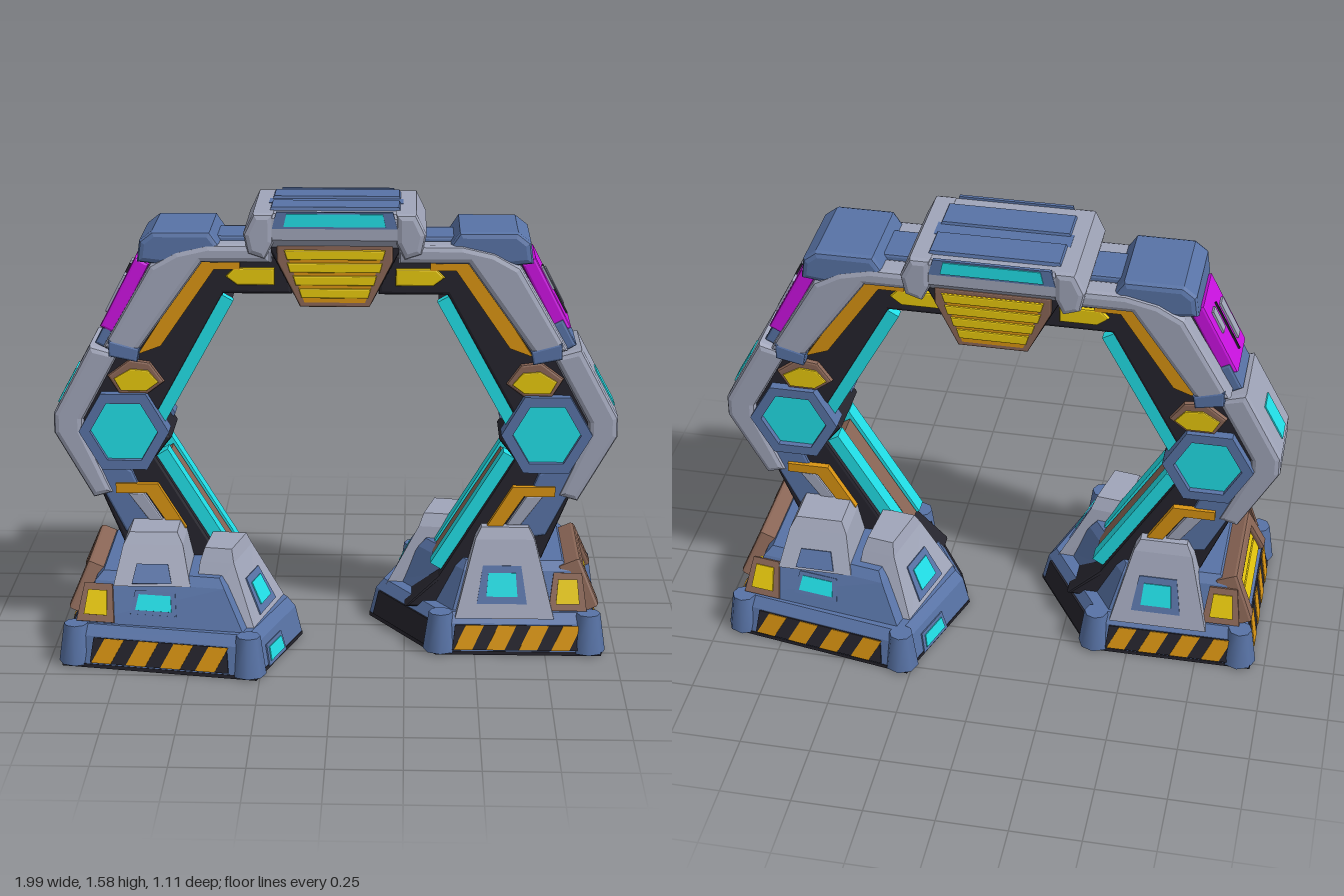
import * as THREE from 'three';

const paint = (name, color) => {
  const m = new THREE.MeshStandardMaterial({ color });
  m.name = name;
  return m;
};

export function createModel() {
  const blue = paint('steel blue', 0x5873a6), grey = paint('pale grey', 0xa0a5b9), dark = paint('charcoal', 0x25242d);
  const cyan = paint('cyan glow', 0x22e2ea), yellow = paint('yellow', 0xf0d00e), orange = paint('orange', 0xd99412);
  const magenta = paint('magenta', 0xcc12e2), brown = paint('brown', 0x8a6656);

  const add = (parent, name, mat, geo) => {
    const mesh = new THREE.Mesh(geo, mat);
    mesh.name = name;
    parent.add(mesh);
    return mesh;
  };

  // Outline in x,y extruded from z0 to z1, with optional bevel
  const slab = (parent, name, mat, pts, z0, z1, b = 0) => {
    const shape = new THREE.Shape(pts.map(p => new THREE.Vector2(...p)));
    const geo = new THREE.ExtrudeGeometry(shape, {
      depth: z1 - z0 - 2 * b, bevelEnabled: b > 0, bevelSize: b, bevelThickness: b, bevelOffset: -b, bevelSegments: 2,
    });
    return add(parent, name, mat, geo.translate(0, 0, z0 + b));
  };

  // The same slab on the front and back of an arm
  const pair = (parent, name, mat, pts, z0, z1, b) => {
    slab(parent, name, mat, pts, z0, z1, b);
    slab(parent, name, mat, pts, -z1, -z0, b);
  };

  // Band of thickness t on the right-hand side of a line in x,y
  const strip = (parent, name, mat, [x1, y1], [x2, y2], t, z0, z1, b) => {
    const l = Math.hypot(x2 - x1, y2 - y1), nx = (y2 - y1) / l * t, ny = -(x2 - x1) / l * t;
    return slab(parent, name, mat, [[x1, y1], [x1 + nx, y1 + ny], [x2 + nx, y2 + ny], [x2, y2]], z0, z1, b);
  };

  // Faceted solid through stacked x,z rings; rings run front-left, front-right, back-right, back-left
  const solid = (parent, name, mat, rings) => {
    const pos = [], P = rings.map(([y, poly]) => poly.map(([x, z]) => [x, y, z])), n = P[0].length;
    const tri = (...v) => v.forEach(p => pos.push(...p));
    for (let r = 0; r + 1 < P.length; r++)
      for (let i = 0; i < n; i++) {
        const j = (i + 1) % n;
        tri(P[r][i], P[r][j], P[r + 1][j]);
        tri(P[r][i], P[r + 1][j], P[r + 1][i]);
      }
    const top = P[P.length - 1];
    for (let i = 1; i + 1 < n; i++) {
      tri(top[0], top[i], top[i + 1]);
      tri(P[0][0], P[0][i + 1], P[0][i]);
    }
    const geo = new THREE.BufferGeometry();
    geo.setAttribute('position', new THREE.Float32BufferAttribute(pos, 3));
    geo.computeVertexNormals();
    add(parent, name, mat, geo);
    // Returns a function giving a group that lies on side i: local x along it, z outward
    return i => {
      const [a, b, c, d] = [P[0][i], P[0][(i + 1) % n], P[1][(i + 1) % n], P[1][i]].map(p => new THREE.Vector3(...p));
      const x = b.clone().sub(a).normalize(), up = c.clone().add(d).sub(a).sub(b);
      const z = x.clone().cross(up).normalize(), y = z.clone().cross(x);
      const g = new THREE.Group();
      g.name = name + 'Face';
      g.quaternion.setFromRotationMatrix(new THREE.Matrix4().makeBasis(x, y, z));
      g.position.copy(a).add(b).add(c).add(d).multiplyScalar(0.25);
      parent.add(g);
      return g;
    };
  };

  const inset = (poly, s) => {
    const cx = poly.reduce((t, p) => t + p[0], 0) / poly.length, cz = poly.reduce((t, p) => t + p[1], 0) / poly.length;
    return poly.map(([x, z]) => [cx + (x - cx) * s, cz + (z - cz) * s]);
  };
  const rect = (x0, x1, z0, z1) => [[x0, z1], [x1, z1], [x1, z0], [x0, z0]];
  // Trapezium outline: half widths at bottom and top, half height, centre
  const trap = (w, wt, h, dx = 0, dy = 0) => [[dx - w, dy - h], [dx + w, dy - h], [dx + wt, dy + h], [dx - wt, dy + h]];

  const hazard = (face, n, w) => {
    slab(face, 'hazardPanel', dark, trap(w, w * 0.96, 0.045), 0, 0.006);
    const step = 2 * w / n;
    for (let i = 0; i < n; i++) {
      const x = -w + step * i + 0.006;
      slab(face, 'hazardStripe', orange,
        [[x, -0.044], [x + step * 0.56, -0.044], [x + step * 0.92, 0.044], [x + step * 0.36, 0.044]], 0.004, 0.009);
    }
  };
  const windowOn = (face, w, h, dx = 0, dy = 0, border = 0.014) => {
    slab(face, 'windowFrame', blue, trap(w + border * 1.3, w + border * 0.5, h + border, dx, dy), 0, 0.005);
    slab(face, 'windowPane', cyan, trap(w, w * 0.88, h, dx, dy), 0.003, 0.009);
  };
  const cornerLamp = (face, dx) => {
    slab(face, 'cornerLampMount', brown, trap(0.068, 0.05, 0.068, dx), 0, 0.012);
    slab(face, 'cornerLamp', yellow, trap(0.042, 0.034, 0.044, dx), 0.01, 0.018);
  };

  const buildFoot = side => {
    const foot = new THREE.Group();
    foot.name = 'foot';
    side.add(foot);
    // Five-sided plinth with hazard panels
    const plan = [[0.36, 0.28], [0.95, 0.28], [0.95, -0.42], [0.26, -0.54], [0.12, -0.1]];
    solid(foot, 'sole', dark, [[0, plan], [0.014, plan]]);
    const base = solid(foot, 'plinth', blue, [[0.014, inset(plan, 0.995)], [0.11, inset(plan, 0.94)], [0.145, inset(plan, 0.87)]]);
    hazard(base(0), 4, 0.23);
    hazard(base(1), 4, 0.25);
    hazard(base(2), 4, 0.25);
    windowOn(base(3), 0.065, 0.024, -0.03, -0.018);
    slab(base(4), 'innerPanel', dark, trap(0.19, 0.18, 0.046), 0, 0.008);
    for (const [x, z] of inset(plan, 0.89).slice(0, 4))
      add(foot, 'cornerPost', blue, new THREE.CylinderGeometry(0.042, 0.062, 0.14, 8).translate(x, 0.078, z));

    // Upper tier
    const low = [[0.42, 0.22], [0.9, 0.22], [0.9, -0.37], [0.31, -0.46], [0.22, -0.1]];
    const high = [[0.46, 0.17], [0.84, 0.17], [0.84, -0.31], [0.38, -0.39], [0.3, -0.08]];
    const tier = solid(foot, 'tier', blue, [[0.14, low], [0.28, high], [0.31, inset(high, 0.9)]]);
    windowOn(tier(2), 0.065, 0.028, -0.02, 0.01);
    cornerLamp(tier(0), 0.175);
    cornerLamp(tier(2), -0.225);

    // Outer vent in a heavy frame
    const vent = tier(1);
    vent.position.z += 0.035;
    slab(vent, 'ventBack', orange, trap(0.21, 0.18, 0.07), 0, 0.014);
    for (const y of [-0.035, 0.025])
      slab(vent, 'ventBar', yellow, trap(0.19, 0.18, 0.027, 0, y), 0.01, 0.03, 0.006);
    slab(vent, 'ventFrame', brown,
      [[-0.245, -0.07], [-0.19, -0.07], [-0.16, 0.055], [0.16, 0.055], [0.19, -0.07], [0.245, -0.07], [0.2, 0.105], [-0.2, 0.105]], -0.04, 0.05, 0.012);
    slab(vent, 'sideLamp', yellow, trap(0.03, 0.022, 0.045, 0.272), 0, 0.009);

    // Armour fenders
    const front = rect(0.5, 0.71, 0, 0.18), back = rect(0.53, 0.74, -0.3, -0.08);
    const diagonal = [[0.3, -0.1], [0.45, -0.08], [0.47, -0.3], [0.35, -0.32]];
    const f = solid(foot, 'frontFender', grey, [[0.13, rect(0.43, 0.78, 0, 0.26)], [0.4, front], [0.44, inset(front, 0.8)]]);
    windowOn(f(0), 0.055, 0.042, -0.01, -0.02, 0.026);
    const k = solid(foot, 'backFender', grey, [[0.28, rect(0.5, 0.77, -0.37, -0.05)], [0.41, back], [0.45, inset(back, 0.8)]]);
    slab(k(2), 'fenderInset', blue, trap(0.07, 0.055, 0.035, 0, -0.03), 0, 0.008);
    const d = solid(foot, 'innerFender', grey,
      [[0.13, [[0.18, -0.07], [0.45, -0.05], [0.5, -0.4], [0.27, -0.42]]], [0.35, diagonal], [0.395, inset(diagonal, 0.8)]]);
    windowOn(d(3), 0.055, 0.042, 0, -0.02, 0.026);
  };

  const buildArm = side => {
    const arm = new THREE.Group();
    arm.name = 'arm';
    side.add(arm);
    slab(arm, 'armCore', dark, [[0.25, 0.12], [0.66, 0.12], [0.8, 0.46], [0.93, 0.78], [0.62, 1.42], [0.15, 1.42], [0.15, 1.275],
      [0.39, 1.275], [0.635, 0.83], [0.58, 0.75], [0.635, 0.68], [0.37, 0.24]], -0.125, 0.125, 0.012);
    // Light strips and ribs along the inner edge
    for (const s of [-1, 1]) {
      strip(arm, 'upperLight', cyan, [0.64, 0.83], [0.395, 1.27], -0.045, s * 0.1 - 0.018, s * 0.1 + 0.018);
      strip(arm, 'lowerLight', cyan, [0.38, 0.26], [0.635, 0.68], -0.045, s * 0.08 - 0.03, s * 0.08 + 0.03);
    }
    strip(arm, 'upperRib', dark, [0.64, 0.83], [0.395, 1.27], -0.04, -0.083, 0.083);
    strip(arm, 'lowerRib', brown, [0.38, 0.27], [0.62, 0.66], -0.035, -0.04, 0.04);

    // Outer armour and elbow light
    slab(arm, 'elbowArmour', grey, [[0.86, 0.53], [0.995, 0.77], [0.995, 0.84], [0.86, 1.09], [0.76, 1.06], [0.89, 0.82], [0.89, 0.78], [0.79, 0.55]], -0.15, 0.145, 0.02);
    strip(arm, 'elbowLight', cyan, [0.986, 0.857], [0.918, 0.982], 0.005, -0.053, 0.037);
    strip(arm, 'collar', blue, [0.8, 1.07], [0.75, 1.165], 0.05, -0.12, 0.105, 0.01);
    strip(arm, 'shoulderPanel', magenta, [0.775, 1.13], [0.645, 1.38], 0.055, -0.128, 0.1, 0.01);
    strip(arm, 'panelGroove', dark, [0.811, 1.18], [0.72, 1.355], 0.007, -0.016, -0.01);
    strip(arm, 'panelInlay', grey, [0.8, 1.2], [0.733, 1.33], 0.008, -0.092, -0.045);
    strip(arm, 'panelInlay', grey, [0.758, 1.281], [0.718, 1.358], 0.008, 0.02, 0.06);
    slab(arm, 'shoulderCap', blue, [[0.38, 1.43], [0.43, 1.505], [0.63, 1.505], [0.675, 1.47], [0.685, 1.395], [0.6, 1.385]], -0.172, 0.165, 0.02);
    slab(arm, 'neckPlate', blue, [[0.26, 1.4], [0.42, 1.4], [0.42, 1.475], [0.26, 1.475]], -0.085, 0.085, 0.01);

    // Cladding on both faces
    pair(arm, 'rail', grey, [[0.7, 1.06], [0.81, 1.09], [0.64, 1.385], [0.55, 1.435], [0.44, 1.46], [0.22, 1.46], [0.22, 1.395], [0.46, 1.395]], 0.08, 0.178, 0.02);
    pair(arm, 'railTrim', orange, [[0.61, 1.09], [0.69, 1.06], [0.47, 1.4], [0.33, 1.4], [0.33, 1.365], [0.42, 1.365]], 0.11, 0.14);
    pair(arm, 'railJoint', blue, [[0.69, 1.04], [0.79, 1.06], [0.79, 1.12], [0.68, 1.09]], 0.1, 0.18, 0.008);
    pair(arm, 'beamLamp', yellow, [[0.21, 1.31], [0.34, 1.31], [0.38, 1.34], [0.35, 1.37], [0.21, 1.37]], 0.12, 0.14, 0.006);
    pair(arm, 'lampMount', brown, [[0.6, 0.96], [0.66, 0.915], [0.76, 0.915], [0.8, 0.98], [0.72, 1.04], [0.65, 1.03]], 0.11, 0.142, 0.008);
    pair(arm, 'lamp', yellow, [[0.62, 0.96], [0.663, 0.928], [0.753, 0.928], [0.777, 0.972], [0.717, 1.008], [0.656, 1.003]], 0.14, 0.15, 0.004);
    pair(arm, 'lowerCheek', blue, [[0.62, 0.38], [0.75, 0.4], [0.88, 0.66], [0.8, 0.68], [0.72, 0.63]], 0.1, 0.135, 0.01);
    pair(arm, 'lowerPlate', grey, [[0.61, 0.44], [0.66, 0.44], [0.74, 0.55], [0.68, 0.55]], 0.12, 0.143, 0.006);
    pair(arm, 'lowerTrim', orange, [[0.53, 0.42], [0.585, 0.42], [0.67, 0.55], [0.78, 0.55], [0.78, 0.585], [0.63, 0.585]], 0.11, 0.148);

    // Hexagonal lights
    const hex = r => Array.from({ length: 6 }, (_, i) => [0.745 + r * Math.cos(i * Math.PI / 3), 0.78 + r * Math.sin(i * Math.PI / 3)]);
    const o = hex(0.16), n = hex(0.12);
    for (let i = 0; i < 6; i++) {
      const j = (i + 1) % 6;
      pair(arm, 'hexRim', blue, [o[i], o[j], n[j], n[i]], 0.08, 0.16);
    }
    pair(arm, 'hexLight', cyan, hex(0.122), 0.1, 0.138);
  };

  const model = new THREE.Group();
  model.name = 'archway';
  for (const turn of [0, Math.PI]) {
    const side = new THREE.Group();
    side.name = turn ? 'rightSide' : 'leftSide';
    side.rotation.y = turn;
    buildFoot(side);
    buildArm(side);
    model.add(side);
  }

  // Keystone at the top of the arch
  const key = new THREE.Group();
  key.name = 'keystone';
  model.add(key);
  slab(key, 'keyCore', dark, trap(0.13, 0.24, 0.105, 0, 1.36), -0.232, 0.155, 0.012);
  const rim = rect(-0.28, 0.28, -0.255, 0.185);
  solid(key, 'keyBody', grey, [[1.45, rect(-0.25, 0.25, -0.23, 0.16)], [1.48, rim], [1.555, rim], [1.57, inset(rim, 0.95)]]);
  for (const s of [-1, 1])
    slab(key, 'endRib', grey, [[0.21, 1.47], [0.24, 1.41], [0.3, 1.43], [0.315, 1.5], [0.28, 1.572], [0.21, 1.572]].map(([x, y]) => [s * x, y]), -0.262, 0.192, 0.02);
  for (const [z0, z1] of [[-0.215, -0.07], [-0.02, 0.125]])
    solid(key, 'roofBox', blue, [[1.55, rect(-0.235, 0.235, z0, z1)], [1.582, rect(-0.22, 0.22, z0 + 0.01, z1 - 0.01)]]);
  slab(key, 'roofGroove', blue, trap(0.235, 0.235, 0.02, 0, 1.553), -0.08, 0);
  // Lights and louvred vents front and back
  for (const [s, z, lit] of [[1, 0.15, 0.035], [-1, 0.225, 0.03]]) {
    const vent = new THREE.Group();
    vent.name = 'louvre';
    vent.position.set(0, 1.35, s * z);
    vent.rotation.y = s > 0 ? 0 : Math.PI;
    key.add(vent);
    slab(vent, 'lightMount', blue, trap(0.215, 0.2, 0.029, 0, 0.199), lit - 0.01, lit + 0.003);
    slab(vent, 'keyLight', cyan, trap(0.175, 0.165, 0.022, 0, 0.2), lit, lit + 0.007);
    slab(vent, 'louvreFrame', brown, [[-0.12, -0.11], [0.12, -0.11], [0.2, 0.05], [0.2, 0.11], [-0.2, 0.11], [-0.2, 0.05]], 0.002, 0.016, 0.006);
    slab(vent, 'louvreBack', orange, trap(0.105, 0.17, 0.093), 0.01, 0.018);
    [[0.115, -0.06], [0.135, -0.015], [0.155, 0.03], [0.165, 0.075]].forEach(([w, y]) =>
      slab(vent, 'louvreBar', yellow, trap(w, w + 0.01, 0.017, 0, y), 0.01, 0.025, 0.005));
  }
  return model;
}
